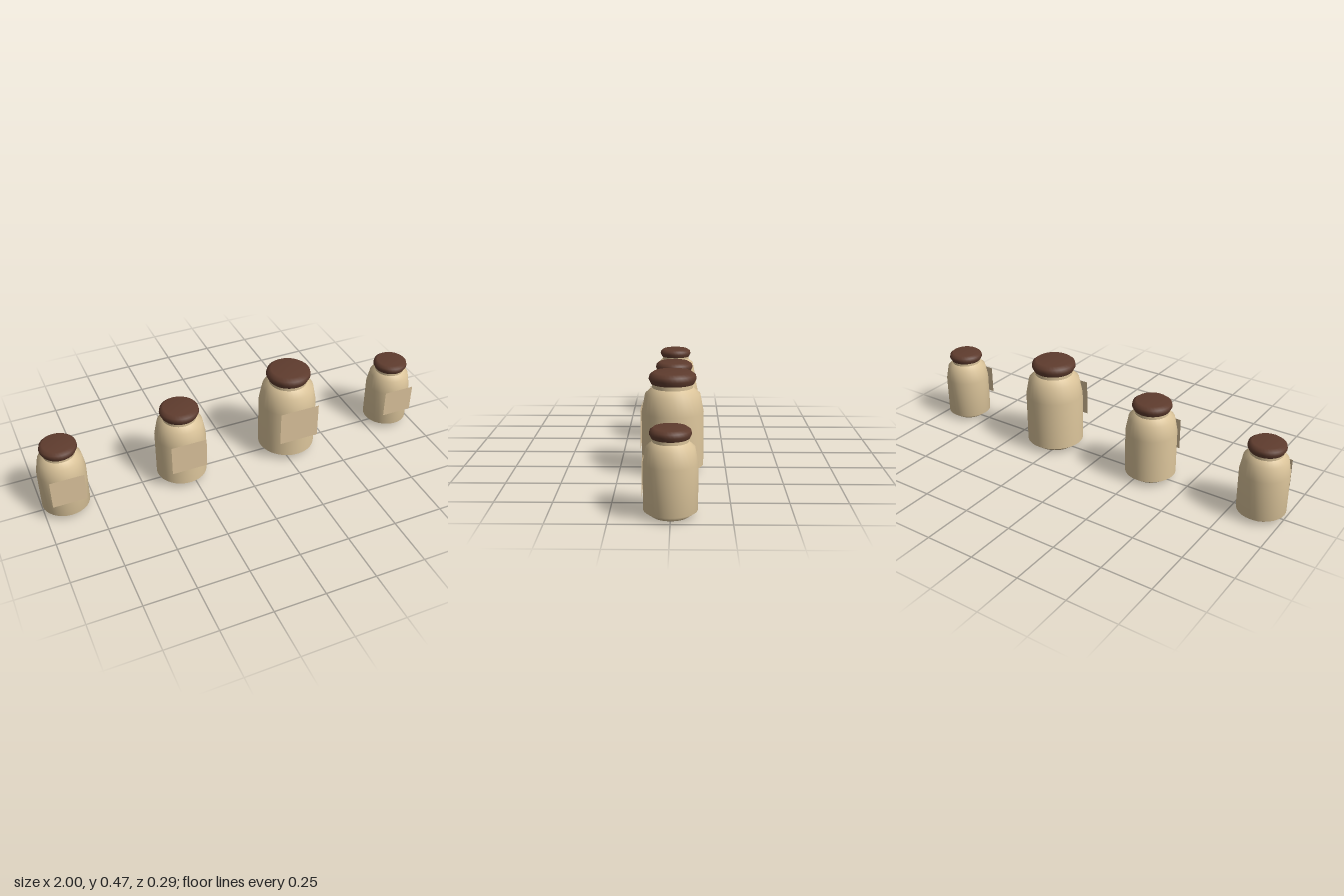
import * as THREE from 'three';

const clay = new THREE.MeshStandardMaterial({ color: 0xdcc59b, side: THREE.DoubleSide });
clay.name = 'cream clay';
const lidBrown = new THREE.MeshStandardMaterial({ color: 0x5f3c2e });
lidBrown.name = 'brown lid';
const paper = new THREE.MeshStandardMaterial({ color: 0xdac29b, side: THREE.DoubleSide });
paper.name = 'label paper';

// Profiles as [radius, height] for the full-size jar
const base = [[0, 0], [0.1, 0], [0.144, 0.032]];
const wall = [[0.144, 0.032], [0.1445, 0.285], [0.128, 0.37], [0.095, 0.399]];
const neck = [[0.095, 0.399], [0.095, 0.42]];
const lidUnder = [[0, 0.418], [0.1, 0.418]];
const lidTop = [[0.1, 0.418], [0.111, 0.44], [0.107, 0.459], [0.088, 0.473], [0, 0.473]];

function turned(name, profile, material) {
  const points = profile.map(([r, y]) => new THREE.Vector2(r, y));
  const mesh = new THREE.Mesh(new THREE.LatheGeometry(points, 32), material);
  mesh.name = name;
  return mesh;
}

function createJar(name, x, scale, softBase) {
  const jar = new THREE.Group();
  jar.name = name;

  // Body: the outer jars blend softly into the foot, the others have a sharp rim
  if (softBase) {
    jar.add(turned('body', [...base, ...wall.slice(1)], clay));
  } else {
    jar.add(turned('base', base, clay), turned('body', wall, clay));
  }
  jar.add(turned('neck', neck, clay));

  // Lid
  jar.add(turned('lidUnderside', lidUnder, lidBrown), turned('lid', lidTop, lidBrown));

  // Flat label touching the front of the body
  const label = new THREE.Mesh(new THREE.PlaneGeometry(0.206, 0.182), paper);
  label.name = 'label';
  label.position.set(0, 0.22, 0.1455);
  jar.add(label);

  jar.position.x = x;
  jar.scale.setScalar(scale);
  return jar;
}

export function createModel() {
  const model = new THREE.Group();
  model.name = 'jarSet';
  model.add(
    createJar('rightOuterJar', -0.885, 0.8, true),
    createJar('rightInnerJar', -0.29, 0.87, false),
    createJar('leftInnerJar', 0.29, 1, false),
    createJar('leftOuterJar', 0.887, 0.775, true),
  );
  return model;
}
